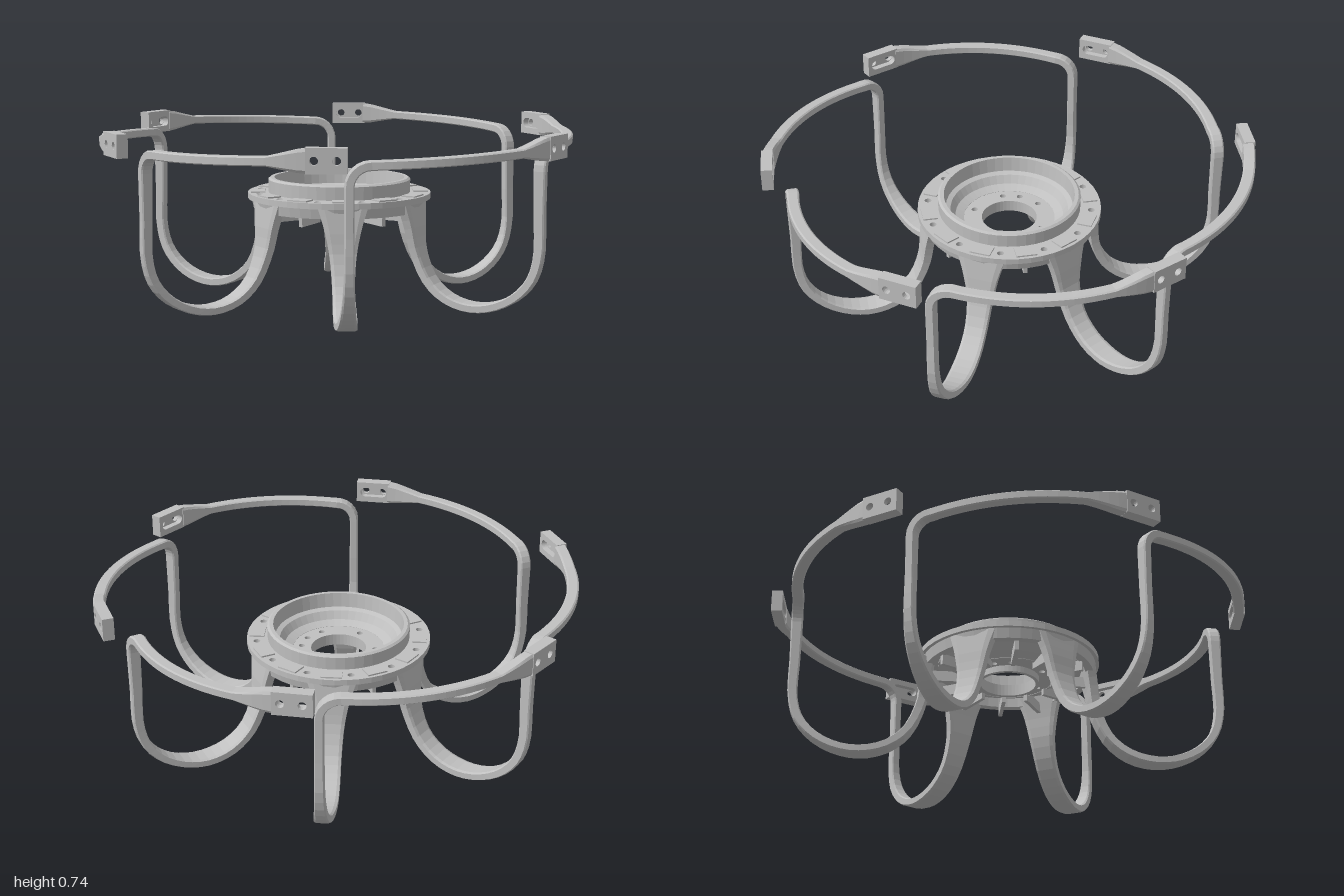
import * as THREE from 'three';

const RAD = Math.PI / 180;
const metal = new THREE.MeshStandardMaterial({ color: 0xc0c0c0, flatShading: true });
metal.name = 'grey metal';

function add(parent, geometry, name) {
  const mesh = new THREE.Mesh(geometry, metal);
  mesh.name = name;
  parent.add(mesh);
  return mesh;
}

// Sweeps a chamfered rectangle through stations { p, N, W, w, t }
function loft(stations) {
  const k = 0.75;
  const section = [[1, -k], [1, k], [k, 1], [-k, 1], [-1, k], [-1, -k], [-k, -1], [k, -1]];
  const n = section.length, pos = [], idx = [];
  for (const { p, N, W, w, t } of stations) {
    for (const [a, b] of section) {
      const v = p.clone().addScaledVector(N, a * t / 2).addScaledVector(W, b * w / 2);
      pos.push(v.x, v.y, v.z);
    }
  }
  const last = (stations.length - 1) * n;
  for (let i = 0; i < last; i += n) {
    for (let j = 0; j < n; j++) {
      const a = i + j, b = i + (j + 1) % n;
      idx.push(a, b, a + n, b, b + n, a + n);
    }
  }
  for (let j = 1; j < n - 1; j++) {
    idx.push(0, j + 1, j, last, last + j, last + j + 1);
  }
  const g = new THREE.BufferGeometry();
  g.setAttribute('position', new THREE.Float32BufferAttribute(pos, 3));
  g.setIndex(idx);
  g.computeVertexNormals();
  return g;
}

const polar = (r, phi, y) => new THREE.Vector3(r * Math.cos(phi), y, -r * Math.sin(phi));

// Hooked leg (in the radial plane), rounded upper corner and long rim arc
function armGeometry() {
  const st = [];
  const r0 = 0.892, bend = 0.08;
  // radius, height, width
  const leg = new THREE.CatmullRomCurve3([
    [0.335, 0.43, 0.2], [0.35, 0.34, 0.145], [0.367, 0.23, 0.105], [0.42, 0.115, 0.09],
    [0.5, 0.048, 0.092], [0.6, 0.02, 0.092], [0.7, 0.03, 0.08], [0.795, 0.076, 0.064],
    [0.862, 0.15, 0.05], [r0, 0.25, 0.04], [r0, 0.42, 0.036], [r0, 0.59, 0.036],
  ].map(a => new THREE.Vector3(...a)));
  for (let i = 0; i <= 30; i++) {
    const u = i / 30, q = leg.getPoint(u);
    st.push({ p: new THREE.Vector3(q.x, q.y, 0), w: q.z, t: 0.034 + 0.06 * (u - 0.5) ** 2, leg: true });
  }
  for (let i = 1; i <= 6; i++) {
    const a = i * 15 * RAD, phi = bend * (1 - Math.cos(a)) / r0;
    st.push({ p: polar(r0, phi, 0.59 + bend * Math.sin(a)), phi, w: 0.036, t: 0.049 });
  }
  const start = bend / r0, end = 51 * RAD;
  for (let i = 1; i <= 20; i++) {
    const u = i / 20, phi = start + (end - start) * u;
    const flare = THREE.MathUtils.clamp((phi / RAD - 42) / 8, 0, 1);
    const r = r0 + 0.088 * u + 0.014 * Math.sin(Math.PI * u);
    st.push({ p: polar(r, phi, 0.67 + 0.028 * u), phi, w: 0.035 + 0.057 * flare, t: 0.048 });
  }
  st.forEach((s, i) => {
    const T = st[Math.min(i + 1, st.length - 1)].p.clone().sub(st[Math.max(i - 1, 0)].p).normalize();
    if (s.leg) {
      s.W = new THREE.Vector3(0, 0, -1);
      s.N = s.W.clone().cross(T).normalize();
    } else {
      s.N = polar(1, s.phi, 0);
      s.W = T.cross(s.N).normalize();
    }
  });
  return loft(st);
}

function circle(x, y, r) {
  const path = new THREE.Path();
  path.absarc(x, y, r, 0, Math.PI * 2, true);
  return path;
}

// Mounting plate: two bolt holes outside, one long slot inside
function plateGeometry(slot) {
  const x = 0.076, y = 0.047;
  const s = new THREE.Shape([[-x, -y], [x, -y], [x, y], [-x, y]].map(a => new THREE.Vector2(...a)));
  if (slot) {
    const h = new THREE.Path();
    h.absarc(-0.04, 0, 0.021, Math.PI / 2, Math.PI * 1.5, false);
    h.absarc(0.038, 0, 0.021, -Math.PI / 2, Math.PI / 2, false);
    s.holes.push(h);
  } else {
    s.holes.push(circle(-0.045, 0, 0.016), circle(0.037, 0, 0.016));
  }
  return new THREE.ExtrudeGeometry(s, { depth: slot ? 0.026 : 0.02, bevelEnabled: false, curveSegments: 8 });
}

// Flat ring lying in xz, with bolt holes at the given angles
function drilledRing(rIn, rOut, y, depth, rHole, holeSize, angles) {
  const s = new THREE.Shape();
  s.absarc(0, 0, rOut, 0, Math.PI * 2, false);
  s.holes.push(circle(0, 0, rIn));
  for (const a of angles) {
    s.holes.push(circle(rHole * Math.cos(a * RAD), -rHole * Math.sin(a * RAD), holeSize));
  }
  return new THREE.ExtrudeGeometry(s, { depth, bevelEnabled: false, curveSegments: 24 })
    .rotateX(-Math.PI / 2).translate(0, y, 0);
}

function lathe(points) {
  return new THREE.LatheGeometry([...points, points[0]].map(a => new THREE.Vector2(...a)), 48);
}

export function createModel() {
  const model = new THREE.Group();
  model.name = 'sixArmedHub';

  // Hub
  const hub = new THREE.Group();
  hub.name = 'hub';
  model.add(hub);
  add(hub, lathe([
    [0.19, 0.375], [0.24, 0.395], [0.295, 0.425], [0.297, 0.51], [0.288, 0.517], [0.272, 0.517],
    [0.265, 0.455], [0.245, 0.447], [0.225, 0.415], [0.19, 0.4],
  ]), 'dish');
  add(hub, lathe([[0.325, 0.39], [0.358, 0.39], [0.368, 0.437], [0.325, 0.437]]), 'skirt');
  const bolts = Array.from({ length: 12 }, (_, i) => i * 30 + 4);
  add(hub, drilledRing(0.285, 0.382, 0.432, 0.024, 0.342, 0.014, bolts), 'flange');
  add(hub, drilledRing(0.115, 0.2, 0.377, 0.022, 0.155, 0.013, [-70, -105, -132, 0, 48, 75, 105, 168]), 'floor');
  add(hub, lathe([[0.115, 0.35], [0.13, 0.35], [0.13, 0.385], [0.115, 0.385]]), 'centreCollar');
  for (let i = 0; i < 12; i++) {
    const sector = new THREE.Group();
    sector.name = 'hubSector';
    sector.rotation.y = -(i * 30 + 17) * RAD;
    hub.add(sector);
    add(sector, new THREE.BoxGeometry(0.155, 0.045, 0.016), 'underRib').position.set(0.258, 0.372, 0);
    add(sector, new THREE.BoxGeometry(0.06, 0.008, 0.085), 'flangePad').position.set(0.338, 0.458, 0);
  }

  // Arms, each ending in a mounting plate
  const armGeo = armGeometry(), inner = plateGeometry(true), outer = plateGeometry(false);
  for (let i = 0; i < 6; i++) {
    const arm = new THREE.Group();
    arm.name = 'arm';
    arm.rotation.y = -(17 + 60 * i) * RAD;
    model.add(arm);
    add(arm, armGeo, 'hookedArm');
    const paddle = new THREE.Group();
    paddle.name = 'mountingPlate';
    paddle.position.copy(polar(0.983, 55 * RAD, 0.699));
    paddle.rotation.y = 145 * RAD;
    arm.add(paddle);
    add(paddle, inner, 'slottedPlate').position.z = -0.026;
    add(paddle, outer, 'drilledPlate');
  }
  return model;
}
